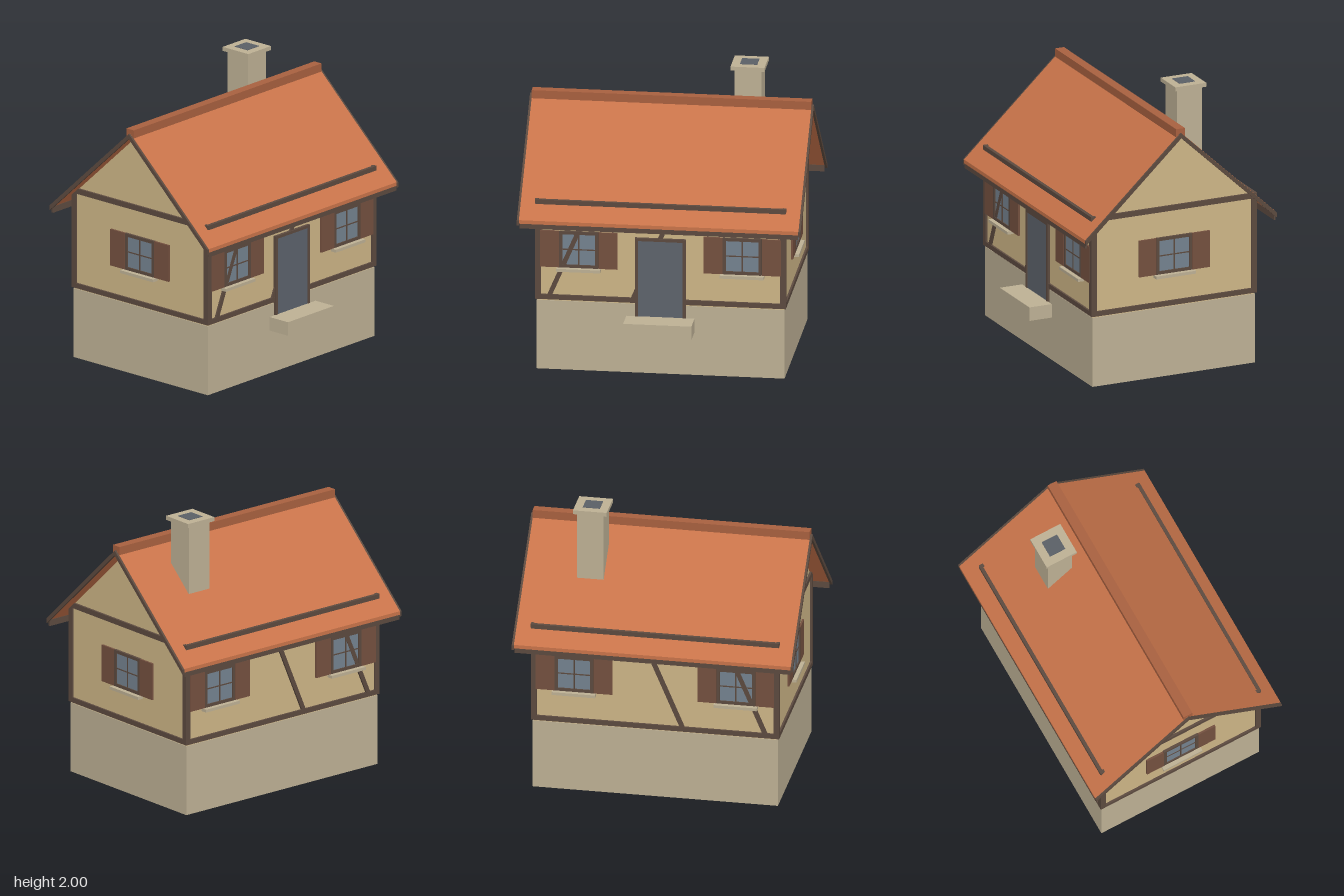
import * as THREE from 'three';

const paint = (color) => new THREE.MeshStandardMaterial({ color, flatShading: true });
const MAT = {
  stone: paint(0xbdb094), plaster: paint(0xcdb586), timber: paint(0x5c4a3f),
  tile: paint(0xc9744a), ridge: paint(0xa8603f), shutter: paint(0x74503f),
  glass: paint(0x74828f), door: paint(0x5d636c), flue: paint(0x5a5f66),
};

const HALF_X = 0.86, HALF_Z = 0.62; // wall half sizes
const BASE = 0.5, EAVE = 1.22; // wall bottom and top

// Box given by its min and max corners
function box(parent, name, mat, [x0, y0, z0], [x1, y1, z1]) {
  const mesh = new THREE.Mesh(new THREE.BoxGeometry(x1 - x0, y1 - y0, z1 - z0), mat);
  mesh.position.set((x0 + x1) / 2, (y0 + y1) / 2, (z0 + z1) / 2);
  mesh.name = name;
  parent.add(mesh);
  return mesh;
}

// Section in the (z, y) plane, extruded along x from x0 to x1
function extrudeX(parent, name, mat, points, x0, x1) {
  const shape = new THREE.Shape(points.map(([z, y]) => new THREE.Vector2(-z, y)));
  const geo = new THREE.ExtrudeGeometry(shape, { depth: x1 - x0, bevelEnabled: false });
  geo.rotateY(Math.PI / 2);
  geo.translate(x0, 0, 0);
  const mesh = new THREE.Mesh(geo, mat);
  mesh.name = name;
  parent.add(mesh);
}

// Inverted V following the roof slope
const chevron = (half, top, eave, thick) => [
  [-half, eave], [0, top], [half, eave],
  [half, eave - thick], [0, top - thick], [-half, eave - thick],
];

// Shuttered window on a wall whose face is z = 0
function addWindow(wall, cx) {
  const g = new THREE.Group();
  g.name = 'window';
  g.position.set(cx, 0.88, 0);
  wall.add(g);
  const w = 0.135, h = 0.132, f = 0.022;
  box(g, 'glass', MAT.glass, [-w + f, -h + f, -0.01], [w - f, h - f, 0.006]);
  for (const s of [-1, 1]) {
    const stile = box(g, 'frameSide', MAT.timber, [-f / 2, -h, -0.01], [f / 2, h, 0.014]);
    stile.position.x = s * (w - f / 2);
    const rail = box(g, 'frameRail', MAT.timber, [-w + f, -f / 2, -0.01], [w - f, f / 2, 0.014]);
    rail.position.y = s * (h - f / 2);
    const shutter = box(g, 'shutter', MAT.shutter, [-0.066, -h, 0], [0.066, h, 0.014]);
    shutter.position.x = s * (w + 0.068);
  }
  box(g, 'mullion', MAT.timber, [-0.005, -h + f, 0], [0.005, h - f, 0.01]);
  box(g, 'glazingBar', MAT.timber, [-w + f, -0.004, 0], [w - f, 0.004, 0.01]);
  box(g, 'windowSill', MAT.stone, [-0.152, -0.155, -0.01], [0.152, -0.134, 0.042]);
}

// Timber framing and windows for one wall; braces are [bottomX, topX]
function addWall(parent, name, angle, distance, half, windows, braces) {
  const wall = new THREE.Group();
  wall.name = name;
  wall.rotation.y = angle;
  wall.position.set(Math.sin(angle) * distance, 0, Math.cos(angle) * distance);
  parent.add(wall);
  box(wall, 'sillBeam', MAT.timber, [-half, 0.51, -0.012], [half, 0.545, 0.01]);
  box(wall, 'wallPlate', MAT.timber, [-half - 0.008, 1.197, -0.012], [half + 0.008, 1.235, 0.012]);
  for (const s of [-1, 1]) {
    const post = box(wall, 'cornerPost', MAT.timber, [-0.02, 0.51, -0.012], [0.02, EAVE, 0.01]);
    post.position.x = s * (half - 0.01);
  }
  for (const [a, b] of braces) {
    const dx = b - a, dy = 0.68, len = Math.hypot(dx, dy);
    const brace = box(wall, 'brace', MAT.timber, [-0.016, -len / 2, -0.01], [0.016, len / 2, 0.009]);
    brace.position.set((a + b) / 2, 0.87, -0.0005);
    brace.rotation.z = -Math.atan2(dx, dy);
  }
  windows.forEach((x) => addWindow(wall, x));
}

export function createModel() {
  const model = new THREE.Group();
  model.name = 'cottage';
  const house = new THREE.Group();
  house.name = 'house';
  house.position.z = -0.033;
  model.add(house);

  // Stone base, plaster walls and gables
  box(house, 'foundation', MAT.stone, [-HALF_X, 0, -HALF_Z], [HALF_X, BASE, HALF_Z]);
  extrudeX(house, 'walls', MAT.plaster, [
    [-HALF_Z + 0.004, BASE], [-HALF_Z + 0.004, 1.2], [0, 1.765],
    [HALF_Z - 0.004, 1.2], [HALF_Z - 0.004, BASE],
  ], -HALF_X + 0.004, HALF_X - 0.004);

  // Half-timbered walls
  const braces = [[-0.775, -0.485], [-0.195, 0.095]];
  const mirrored = braces.map(([a, b]) => [-a, -b]);
  addWall(house, 'frontWall', 0, HALF_Z, HALF_X, [-0.567, 0.567], braces);
  addWall(house, 'backWall', Math.PI, HALF_Z, HALF_X, [-0.567, 0.567], mirrored);
  addWall(house, 'leftWall', Math.PI / 2, HALF_X, HALF_Z, [0], []);
  addWall(house, 'rightWall', -Math.PI / 2, HALF_X, HALF_Z, [0], []);

  // Door with frame and stone step
  const dz = HALF_Z;
  for (const s of [-1, 1]) {
    const jamb = box(house, 'doorJamb', MAT.timber, [-0.011, 0.412, dz - 0.02], [0.011, 0.985, dz + 0.018]);
    jamb.position.x = s * 0.166;
  }
  box(house, 'doorLintel', MAT.timber, [-0.155, 0.965, dz - 0.02], [0.155, 0.985, dz + 0.018]);
  box(house, 'door', MAT.door, [-0.155, 0.412, dz - 0.02], [0.155, 0.965, dz + 0.012]);
  box(house, 'doorStep', MAT.stone, [-0.237, 0.317, dz + 0.013], [0.237, 0.415, 0.803]);

  // Roof slopes, barge boards, eave boards and ridge
  extrudeX(house, 'roof', MAT.tile, chevron(0.728, 1.793, 1.113, 0.026), -0.97, 0.97);
  for (const s of [-1, 1]) {
    extrudeX(house, 'bargeBoard', MAT.timber, chevron(0.729, 1.79, 1.11, 0.036),
      s * 0.977 - 0.008, s * 0.977 + 0.008);
    const fascia = box(house, 'eaveBoard', MAT.timber, [-0.967, 1.053, -0.007], [0.967, 1.098, 0.007]);
    fascia.position.z = s * 0.72;
  }
  box(house, 'ridgeCap', MAT.ridge, [-0.97, 1.755, -0.034], [0.97, 1.82, 0.034]);

  // Chimney with cap and flue
  const chimney = new THREE.Group();
  chimney.name = 'chimney';
  chimney.position.set(0.508, 0, -0.243);
  house.add(chimney);
  box(chimney, 'stack', MAT.stone, [-0.093, 1.35, -0.095], [0.093, 1.97, 0.095]);
  box(chimney, 'cap', MAT.stone, [-0.118, 1.968, -0.118], [0.118, 1.997, 0.118]);
  box(chimney, 'flue', MAT.flue, [-0.06, 1.96, -0.06], [0.06, 2.0, 0.06]);

  return model;
}
